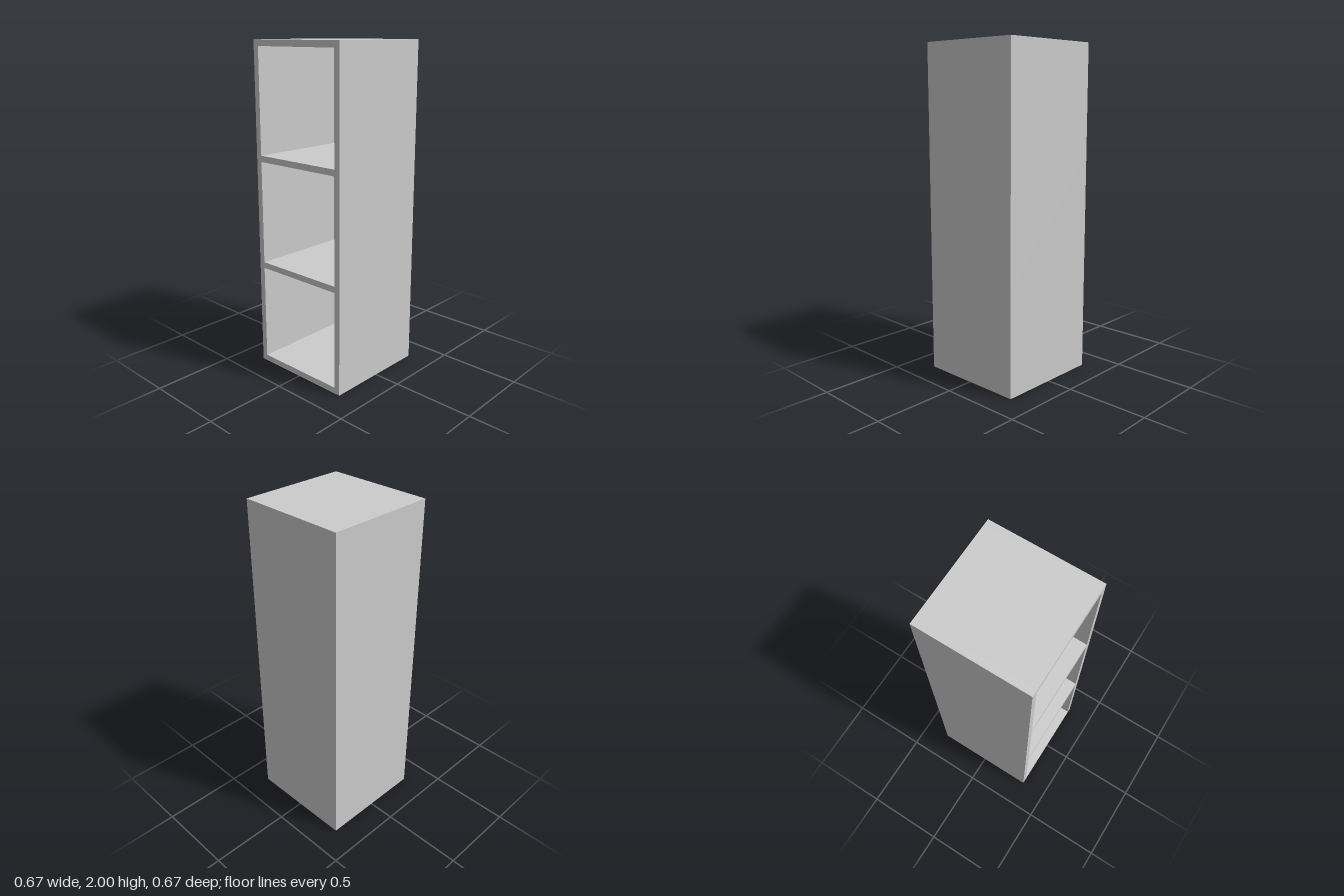
import * as THREE from 'three';

const CELLS = 3;
const CELL = 2 / CELLS; // each bay is a cube
const T = 0.037; // panel thickness
const HALF = CELL / 2;
const INNER = CELL - 2 * T; // clear width between the sides

export function createModel() {
  const group = new THREE.Group();
  group.name = 'cubeShelf';
  const material = new THREE.MeshStandardMaterial({ color: 0xcccccc });

  const panel = (name, w, h, d, x, y, z) => {
    const mesh = new THREE.Mesh(new THREE.BoxGeometry(w, h, d), material);
    mesh.name = name;
    mesh.position.set(x, y, z);
    group.add(mesh);
  };

  // Base board
  panel('baseBoard', INNER, T, CELL, 0, T / 2, 0);

  for (let i = 0; i < CELLS; i++) {
    const bottom = i * CELL;
    const top = bottom + CELL;
    const floor = i === 0 ? T : bottom; // underside of the bay's opening

    // Side panels, one pair per bay
    panel(`leftSide${i + 1}`, T, CELL, CELL, HALF - T / 2, bottom + HALF, 0);
    panel(`rightSide${i + 1}`, T, CELL, CELL, -HALF + T / 2, bottom + HALF, 0);

    // Board closing the top of the bay
    panel(i === CELLS - 1 ? 'topBoard' : `shelf${i + 1}`, INNER, T, CELL, 0, top - T / 2, 0);

    // Back panel set between the boards, flush with the rear; the front stays open
    const height = top - T - floor;
    panel(`backPanel${i + 1}`, INNER, height, T, 0, floor + height / 2, -HALF + T / 2);
  }
  return group;
}
